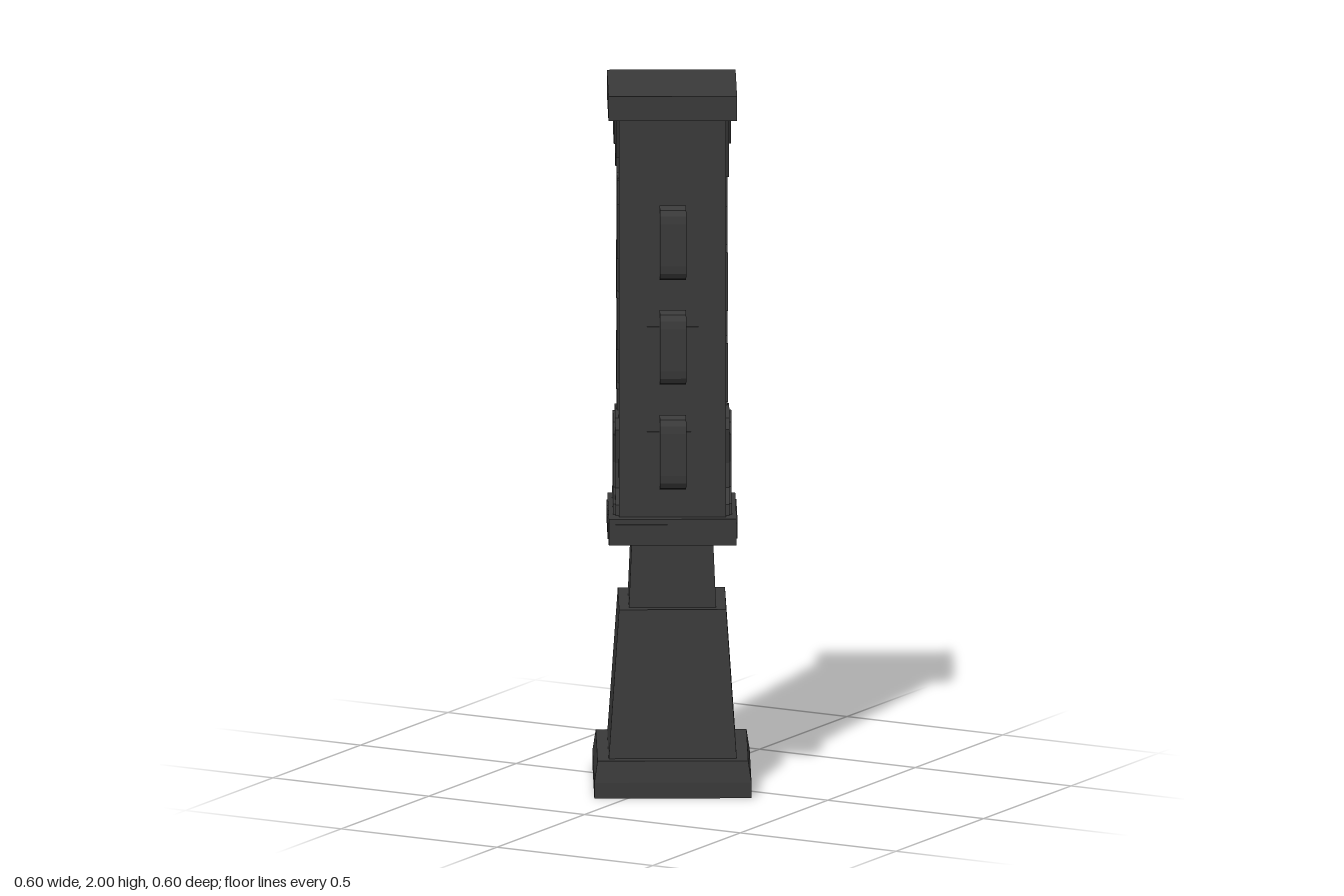
import * as THREE from 'three';

const material = new THREE.MeshStandardMaterial({ color: 0x3a3a3a, flatShading: true });

function addMesh(parent, name, geometry) {
  const mesh = new THREE.Mesh(geometry, material);
  mesh.name = name;
  parent.add(mesh);
  return mesh;
}

// Square block with half widths a (bottom) and b (top), from y0 to y1
function block(parent, name, y0, y1, a, b = a) {
  const g = new THREE.CylinderGeometry(b * Math.SQRT2, a * Math.SQRT2, y1 - y0, 4);
  g.rotateY(Math.PI / 4);
  g.translate(0, (y0 + y1) / 2, 0);
  return addMesh(parent, name, g);
}

function box(parent, name, w, h, d, x, y, z) {
  return addMesh(parent, name, new THREE.BoxGeometry(w, h, d).translate(x, y, z));
}

function extrude(points, depth) {
  const shape = new THREE.Shape(points.map(([x, y]) => new THREE.Vector2(x, y)));
  return new THREE.ExtrudeGeometry(shape, { depth, bevelEnabled: false });
}

// Relief drawn on the +x side of the shaft
function relief(parent, name, points, height) {
  const g = extrude(points, height + 0.01);
  g.rotateY(Math.PI / 2);
  g.translate(0.14, 0, 0);
  return addMesh(parent, name, g);
}

// Hooked lug on its backing plate, on the +z side
function lug(parent, y) {
  const profile = [
    [0.13, -0.105], [0.225, -0.105], [0.243, -0.098], [0.253, -0.082], [0.256, -0.06],
    [0.256, 0.06], [0.253, 0.082], [0.243, 0.098], [0.225, 0.105], [0.21, 0.105],
    [0.2, 0.095], [0.2, 0.045], [0.13, 0.045],
  ];
  const g = extrude(profile, 0.074);
  g.translate(0, 0, -0.037);
  g.rotateY(-Math.PI / 2);
  g.translate(0, y, 0);
  addMesh(parent, 'lug', g);
  box(parent, 'lugPlate', 0.144, 0.175, 0.02, 0, y - 0.0425, 0.144);
}

export function createModel() {
  const model = new THREE.Group();
  model.name = 'pillar';

  // The pillar stands turned on its axis
  const pillar = new THREE.Group();
  pillar.name = 'turnedPillar';
  pillar.rotation.y = Math.PI / 6;
  model.add(pillar);

  // Stacked square body
  block(pillar, 'plinth', 0, 0.045, 0.22);
  block(pillar, 'plinthBevel', 0.045, 0.105, 0.22, 0.211);
  block(pillar, 'foot', 0.105, 0.525, 0.179, 0.15);
  block(pillar, 'neck', 0.525, 0.715, 0.122, 0.114);
  block(pillar, 'collar', 0.715, 0.79, 0.179);
  block(pillar, 'shaft', 0.79, 1.93, 0.15);
  block(pillar, 'cap', 1.93, 2, 0.18);

  // Both opposite halves carry the same decoration
  for (const turn of [0, Math.PI]) {
    const half = new THREE.Group();
    half.name = 'decoratedHalf';
    half.rotation.y = turn;
    pillar.add(half);

    for (const y of [1.59, 1.29, 0.99]) lug(half, y);

    // Collar panels
    box(half, 'collarPanel', 0.32, 0.045, 0.01, 0, 0.7525, 0.177);
    box(half, 'collarPanel', 0.01, 0.045, 0.32, 0.177, 0.7525, 0);

    // Bracket under the cap, in two layers
    relief(half, 'bracketBack', [
      [-0.145, 1.93], [-0.09, 1.75], [-0.06, 1.75], [-0.06, 1.81], [0.105, 1.81], [0.145, 1.93],
    ], 0.008);
    relief(half, 'bracketFront', [[-0.125, 1.93], [-0.085, 1.845], [0.09, 1.845], [0.125, 1.93]], 0.014);

    // Waisted arch at the foot of the shaft, in two layers
    for (const [inset, height] of [[0, 0.01], [0.015, 0.016]]) {
      const side = [
        [0.13, 0.79], [0.125, 0.82], [0.085, 0.86], [0.08, 0.93], [0.105, 1.03], [0.085, 1.06], [0.04, 1.075],
      ].map(([u, y]) => [u - inset, y > 1 ? y - inset : y]);
      const mirrored = side.map(([u, y]) => [-u, y]).reverse();
      relief(half, 'waistedArch', [...side, ...mirrored], height);
    }

    // Stepped meander band between bracket and arch
    const path = [
      [-0.04, 1.82], [-0.04, 1.67], [0.03, 1.67], [0.03, 1.52], [-0.075, 1.52], [-0.075, 1.38],
      [0.03, 1.38], [0.03, 1.26], [-0.075, 1.26], [-0.075, 1.12], [0.03, 1.12], [0.03, 1.05],
    ];
    const band = 0.028;
    for (let i = 1; i < path.length; i++) {
      const [u0, y0] = path[i - 1], [u1, y1] = path[i];
      box(half, 'meanderBand', 0.016, Math.abs(y1 - y0) + band, Math.abs(u1 - u0) + band,
        0.147, (y0 + y1) / 2, -(u0 + u1) / 2);
    }
    box(half, 'meanderSpur', 0.016, band, 0.09, 0.147, 1.73, -0.045);
    box(half, 'meanderSpur', 0.016, 0.07, band, 0.147, 1.71, -0.09);
  }
  return model;
}
